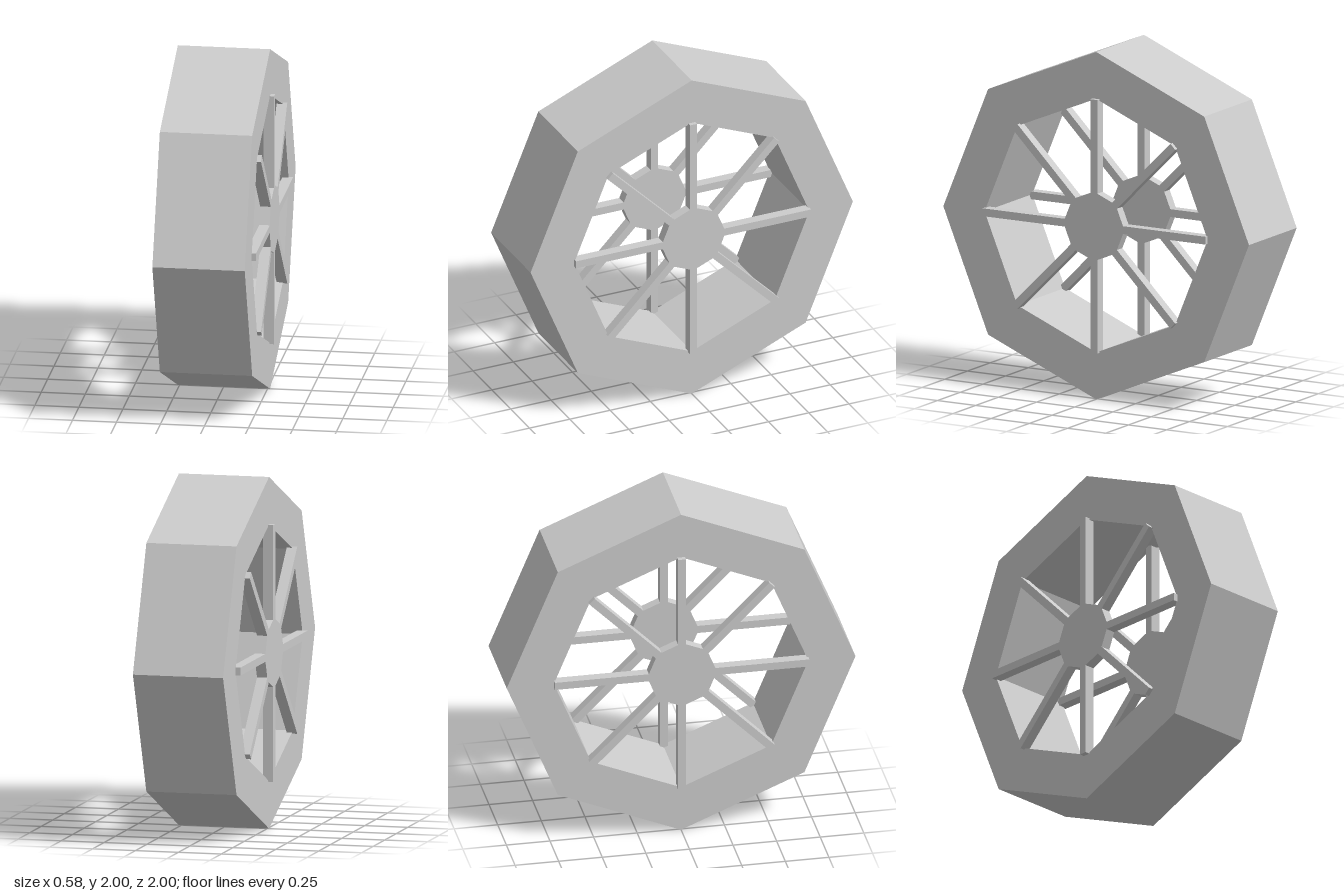
import * as THREE from 'three';

const SIDES = 8;

// Octagon with corners on the spoke directions
function octagon(radius, PathType) {
  const points = [];
  for (let i = 0; i < SIDES; i++) {
    const a = (i / SIDES) * Math.PI * 2;
    points.push(new THREE.Vector2(Math.cos(a) * radius, Math.sin(a) * radius));
  }
  return new PathType(points);
}

function extrude(shape, from, to) {
  const geometry = new THREE.ExtrudeGeometry(shape, { depth: to - from, bevelEnabled: false });
  return geometry.translate(0, 0, from);
}

export function createModel() {
  const model = new THREE.Group();
  model.name = 'wheel';
  const material = new THREE.MeshStandardMaterial({ color: 0xcccccc, flatShading: true });

  const add = (parent, name, geometry) => {
    const mesh = new THREE.Mesh(geometry, material);
    mesh.name = name;
    parent.add(mesh);
    return mesh;
  };

  // Built with the axle along z, then turned so the axle lies along x
  const wheel = new THREE.Group();
  wheel.name = 'wheelAssembly';
  wheel.position.y = 1;
  wheel.rotation.y = Math.PI / 2;
  model.add(wheel);

  // Broad octagonal rim
  const rimShape = octagon(1, THREE.Shape);
  rimShape.holes.push(octagon(0.73, THREE.Path));
  add(wheel, 'rim', extrude(rimShape, -0.26, 0.265));

  // A thin hub with eight spokes on each face, standing slightly proud of the rim
  const outer = 0.29, thickness = 0.06;
  const spokeStart = 0.17, spokeEnd = 0.73, spokeWidth = 0.045;
  const spokeGeometry = new THREE.BoxGeometry(spokeEnd - spokeStart, spokeWidth, thickness)
    .translate((spokeStart + spokeEnd) / 2, 0, 0);
  const hubGeometry = extrude(octagon(0.2, THREE.Shape), -thickness / 2, thickness / 2);

  for (const side of [-1, 1]) {
    const face = new THREE.Group();
    face.name = side > 0 ? 'leftSpokes' : 'rightSpokes';
    face.position.z = side * (outer - thickness / 2);
    wheel.add(face);
    add(face, 'hub', hubGeometry);
    for (let i = 0; i < SIDES; i++) {
      add(face, 'spoke', spokeGeometry).rotation.z = (i / SIDES) * Math.PI * 2;
    }
  }

  return model;
}
